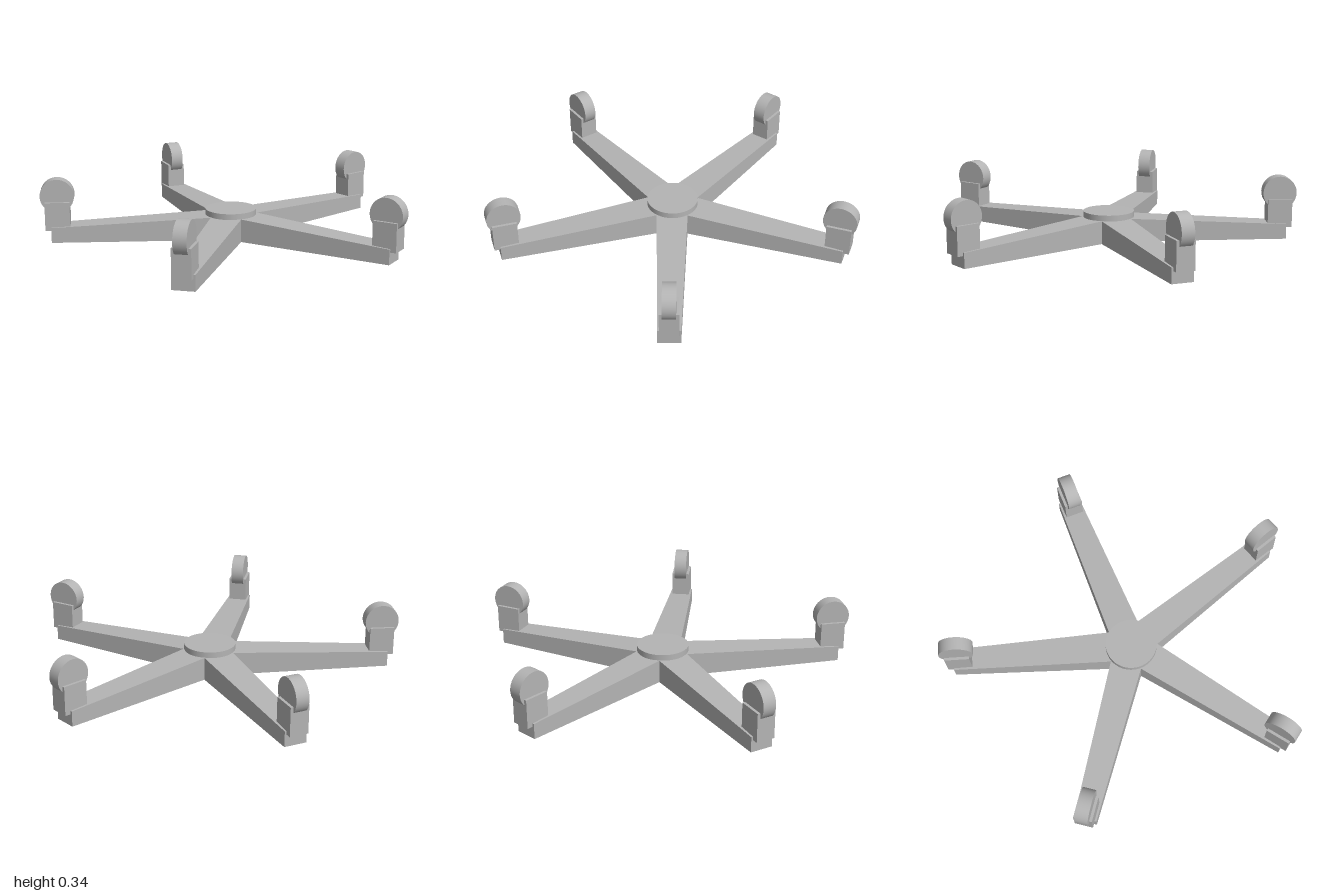
import * as THREE from 'three';

const HUB_X = -0.09;      // hub sits off the centre of the bounding box
const ARMS = 5;
const NOTCH_R = 0.117;    // distance to the edge where an arm meets the hub
const NOTCH_W = 0.085;    // half width of an arm at the hub
const TIP_R = 0.98;
const TIP_W = 0.06;
const HUB_H = 0.127;
const TIP_H = 0.083;

const grey = new THREE.MeshStandardMaterial({ color: 0xb4b4b4 });
grey.name = 'grey';

function add(parent, name, geometry, x = 0, y = 0, z = 0) {
  const mesh = new THREE.Mesh(geometry, grey);
  mesh.name = name;
  mesh.position.set(x, y, z);
  parent.add(mesh);
  return mesh;
}

// Box that narrows and drops from the hub to the tip
function armGeometry() {
  const geometry = new THREE.BoxGeometry(1, 1, 1);
  const p = geometry.attributes.position;
  for (let i = 0; i < p.count; i++) {
    const tip = p.getX(i) > 0;
    const top = p.getY(i) > 0;
    p.setXYZ(i,
      tip ? TIP_R : NOTCH_R,
      top ? (tip ? TIP_H : HUB_H) : 0,
      Math.sign(p.getZ(i)) * (tip ? TIP_W : NOTCH_W));
  }
  const flat = geometry.toNonIndexed();
  flat.computeVertexNormals();
  return flat;
}

// Five-sided hub core with a round socket through it
function coreGeometry() {
  const r = Math.hypot(NOTCH_R, NOTCH_W);
  const shape = new THREE.Shape();
  for (let i = 0; i < ARMS; i++) {
    const a = (i + 0.5) * Math.PI * 2 / ARMS;
    shape[i ? 'lineTo' : 'moveTo'](r * Math.cos(a), r * Math.sin(a));
  }
  shape.closePath();
  const hole = new THREE.Path();
  hole.absarc(0, 0, 0.037, 0, Math.PI * 2, true);
  shape.holes.push(hole);
  return new THREE.ExtrudeGeometry(shape, { depth: HUB_H, bevelEnabled: false, curveSegments: 24 })
    .rotateX(-Math.PI / 2);
}

export function createModel() {
  const model = new THREE.Group();
  model.name = 'starBase';
  const base = new THREE.Group();
  base.name = 'base';
  base.position.x = HUB_X;
  model.add(base);

  // Hub
  add(base, 'hubCore', coreGeometry());
  add(base, 'hubDisc', new THREE.CylinderGeometry(0.14, 0.14, 0.033, 64), 0, 0.1415, 0);

  // Arms, each with a caster housing and wheel
  const arm = armGeometry();
  const housing = new THREE.BoxGeometry(0.134, 0.155, 0.1);
  const wheel = new THREE.CylinderGeometry(0.092, 0.092, 0.07, 48).rotateX(Math.PI / 2);
  for (let i = 0; i < ARMS; i++) {
    const leg = new THREE.Group();
    leg.name = 'leg' + (i + 1);
    leg.rotation.y = i * Math.PI * 2 / ARMS;
    add(leg, 'arm', arm);
    add(leg, 'casterHousing', housing, 0.945, 0.1425, 0);
    add(leg, 'casterWheel', wheel, 0.945, 0.253, 0);
    base.add(leg);
  }
  return model;
}
